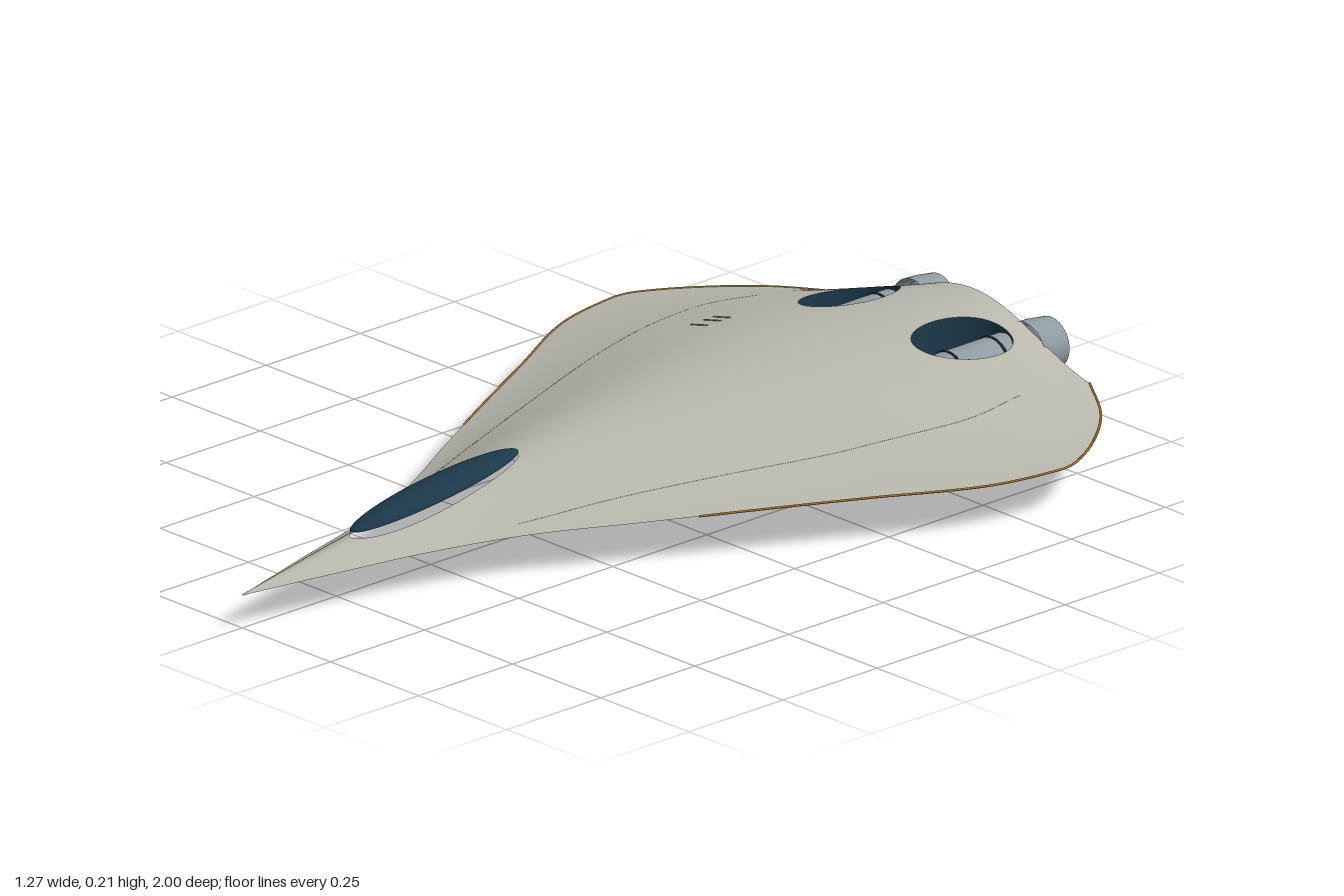
import * as THREE from 'three';

const mat = (name, color, side = THREE.FrontSide) => {
  const m = new THREE.MeshStandardMaterial({ color, side });
  m.name = name;
  return m;
};

// Hull stations: z, half width, rim height, top height, keel height
const stations = [
  [1.0, 0.001, 0.068, 0.07, 0.067], [0.8, 0.052, 0.075, 0.099, 0.06],
  [0.6, 0.103, 0.08, 0.127, 0.051], [0.4, 0.175, 0.084, 0.154, 0.043],
  [0.2, 0.282, 0.087, 0.177, 0.035], [0, 0.387, 0.09, 0.192, 0.028],
  [-0.2, 0.49, 0.091, 0.205, 0.022], [-0.41, 0.6, 0.091, 0.209, 0.021],
  [-0.57, 0.634, 0.091, 0.206, 0.025], [-0.63, 0.626, 0.091, 0.204, 0.027],
  [-0.74, 0.56, 0.091, 0.201, 0.034], [-0.845, 0.466, 0.091, 0.198, 0.042],
  [-0.94, 0.333, 0.09, 0.195, 0.05],
];

// Smooth interpolation of the stations
function section(z) {
  const n = stations.length;
  let i = 0;
  while (i < n - 2 && z < stations[i + 1][0]) i++;
  const a = stations[i], b = stations[i + 1];
  const p = stations[Math.max(i - 1, 0)], q = stations[Math.min(i + 2, n - 1)];
  const h = b[0] - a[0], t = (z - a[0]) / h, t2 = t * t, t3 = t2 * t;
  const [w, rim, top, keel] = [1, 2, 3, 4].map((k) => {
    const ma = ((b[k] - p[k]) / (b[0] - p[0])) * h;
    const mb = ((q[k] - a[k]) / (q[0] - a[0])) * h;
    return (2 * t3 - 3 * t2 + 1) * a[k] + (t3 - 2 * t2 + t) * ma
      + (3 * t2 - 2 * t3) * b[k] + (t3 - t2) * mb;
  });
  return { w: Math.max(w, 0), rim, top, keel };
}

function topY(x, z) {
  const s = section(z), u = Math.min(1, Math.abs(x) / Math.max(s.w, 1e-5));
  const f = 0.325 * (1 + Math.cos(Math.PI * u)) + 0.35 * (1 - u * u);
  return s.rim + (s.top - s.rim) * f;
}

function bottomY(x, z) {
  const s = section(z), u = Math.min(1, Math.abs(x) / Math.max(s.w, 1e-5));
  return s.rim + (s.keel - s.rim) * (1 - Math.pow(u, 1.3));
}

// Oval openings in the upper skin: two engine wells and the cockpit
const WELL = { x: 0.16, z: -0.763, rx: 0.078, rz: 0.115, floor: 0.066 };
const COCKPIT = { x: 0, z: 0.49, rx: 0.045, rz: 0.22 };
const OPENINGS = [WELL, { ...WELL, x: -WELL.x }, COCKPIT];
const Z0 = 1.0, Z1 = -0.94;

function skin(rows, cols, heightAt, up, openings) {
  const pos = [], inside = [], index = [];
  for (let i = 0; i <= rows; i++) {
    for (let j = 0; j <= cols; j++) {
      let z = Z0 + (Z1 - Z0) * (i / rows);
      let x = section(z).w * ((2 * j) / cols - 1);
      let hit = false;
      for (const o of openings) { // push points inside an opening out to its edge
        const dx = (x - o.x) / o.rx, dz = (z - o.z) / o.rz, d = Math.hypot(dx, dz);
        if (hit || d >= 1) continue;
        hit = true;
        x = o.x + (dx / (d || 1)) * o.rx;
        z = o.z + (dz / (d || 1)) * o.rz;
      }
      inside.push(hit);
      pos.push(x, heightAt(x, z), z);
    }
  }
  const tri = (a, b, c) => {
    if (!(inside[a] && inside[b] && inside[c])) index.push(a, b, c);
  };
  for (let i = 0; i < rows; i++) {
    for (let j = 0; j < cols; j++) {
      const a = i * (cols + 1) + j, c = a + 1, b = a + cols + 1, d = b + 1;
      if (up) { tri(a, c, b); tri(c, d, b); } else { tri(a, b, c); tri(c, b, d); }
    }
  }
  const g = new THREE.BufferGeometry();
  g.setAttribute('position', new THREE.Float32BufferAttribute(pos, 3));
  g.setIndex(index);
  g.computeVertexNormals();
  return g;
}

function wellWall() {
  const N = 48, pos = [], index = [];
  for (let i = 0; i <= N; i++) {
    const t = (i / N) * Math.PI * 2;
    const x = WELL.rx * Math.cos(t), z = WELL.z + WELL.rz * Math.sin(t);
    pos.push(x, topY(x + WELL.x, z), z, x, WELL.floor, z);
    if (i < N) index.push(2 * i, 2 * i + 2, 2 * i + 1, 2 * i + 1, 2 * i + 2, 2 * i + 3);
  }
  const g = new THREE.BufferGeometry();
  g.setAttribute('position', new THREE.Float32BufferAttribute(pos, 3));
  g.setIndex(index);
  g.computeVertexNormals();
  return g;
}

const lathe = (pts, seg = 40) =>
  new THREE.LatheGeometry(pts.map(([r, y]) => new THREE.Vector2(r, y)), seg);

export function createModel() {
  const model = new THREE.Group();
  const hullMat = mat('warm grey hull', 0xb8b7ac);
  const bellyMat = mat('slate belly', 0x7b868b);
  const metalMat = mat('engine metal', 0x8f9ca1, THREE.DoubleSide);
  const glassMat = mat('dark blue glass', 0x1c394a, THREE.DoubleSide);
  const blackMat = mat('black bands', 0x1a2126);
  const trimMat = mat('bronze trim', 0xa0702f);
  const lineMat = mat('panel line grey', 0x8f9a9d);
  const lampMat = mat('pale hatch plate', 0xe9eff0);

  const add = (name, geo, material, parent = model) => {
    const m = new THREE.Mesh(geo, material);
    m.name = name;
    parent.add(m);
    return m;
  };

  // Hull skins and flat tail
  add('upperHull', skin(180, 120, topY, true, OPENINGS), hullMat);
  add('lowerHull', skin(80, 48, bottomY, false, []), bellyMat);
  const outline = [], wTail = section(Z1).w;
  for (let i = 0; i <= 40; i++) {
    const x = wTail * (i / 20 - 1);
    outline.push(new THREE.Vector2(x, bottomY(x, Z1)));
  }
  for (let i = 39; i > 0; i--) {
    const x = wTail * (i / 20 - 1);
    outline.push(new THREE.Vector2(x, topY(x, Z1)));
  }
  const tail = new THREE.ShapeGeometry(new THREE.Shape(outline)).rotateY(Math.PI);
  add('tailPlate', tail.translate(0, 0, Z1), metalMat);

  // Canopy: a shallow dome set just above the cockpit opening
  const dome = new THREE.SphereGeometry(1, 48, 14, 0, Math.PI * 2, 0, Math.PI / 2);
  const canopy = add('canopy', dome, glassMat);
  canopy.scale.set(0.046, 0.021, 0.222);
  canopy.position.set(0, 0.15, COCKPIT.z);
  canopy.rotation.x = 0.125;

  for (const side of [1, -1]) {
    const label = side > 0 ? 'left' : 'right';
    // Engine well, pod and nozzle
    const engine = new THREE.Group();
    engine.name = label + 'Engine';
    engine.position.x = side * WELL.x;
    model.add(engine);
    const wall = add('wellWall', wellWall(), glassMat, engine);
    wall.scale.x = side;
    const floor = new THREE.CircleGeometry(1, 40).rotateX(-Math.PI / 2);
    floor.scale(WELL.rx, 1, WELL.rz).translate(0, WELL.floor, WELL.z);
    add('wellFloor', floor, glassMat, engine);
    const pod = lathe([[0, 0.685], [0.036, 0.685], [0.045, 0.695], [0.05, 0.72], [0.05, 0.9]]);
    const podMesh = add('enginePod', pod, metalMat, engine);
    const nozzle = lathe([[0.058, 0.93], [0.057, 0.96], [0.052, 1], [0.043, 1],
      [0.046, 0.955], [0, 0.95]]);
    const nozzleMesh = add('nozzle', nozzle, metalMat, engine);
    const lip = add('nozzleLip', new THREE.TorusGeometry(0.0475, 0.0025, 6, 40), trimMat, engine);
    lip.position.set(0, 0.112, -0.998);
    for (const m of [podMesh, nozzleMesh]) {
      m.rotation.x = -Math.PI / 2;
      m.position.y = 0.112;
    }
    for (const z of [-0.727, -0.842]) {
      const band = add('podBand', new THREE.TorusGeometry(0.049, 0.0035, 8, 40), blackMat, engine);
      band.position.set(0, 0.112, z);
    }

    // Faint panel seam
    const seam = [[0.37, -0.72], [0.4, -0.57], [0.36, -0.3], [0.265, 0], [0.2, 0.2], [0.14, 0.4]];
    const plan = new THREE.CatmullRomCurve3(seam.map(([x, z]) => new THREE.Vector3(x, 0, z)));
    const path = plan.getPoints(50).map((p) =>
      new THREE.Vector3(side * p.x, topY(p.x, p.z) - 0.0005, p.z));
    add(label + 'Seam', new THREE.TubeGeometry(
      new THREE.CatmullRomCurve3(path), 100, 0.0009, 5), lineMat);

    // Bronze rim along the wing edge
    const edge = [];
    for (let i = 0; i <= 50; i++) {
      const z = 0.1 + (Z1 - 0.1) * (i / 50), s = section(z);
      edge.push(new THREE.Vector3(side * s.w, s.rim, z));
    }
    add(label + 'EdgeTrim', new THREE.TubeGeometry(
      new THREE.CatmullRomCurve3(edge), 100, 0.0025, 6), trimMat);
  }

  // Small vents on the right wing
  for (const z of [-0.455, -0.49, -0.515]) {
    const vent = add('vent', new THREE.BoxGeometry(0.048, 0.003, 0.004), lineMat);
    vent.position.set(-0.257, topY(-0.257, z), z);
    vent.rotation.z = Math.atan2(topY(-0.233, z) - topY(-0.281, z), 0.048);
  }

  // Belly hatch: collar, ring and inset plate
  const hatch = new THREE.Group();
  hatch.name = 'bellyHatch';
  hatch.position.z = -0.288;
  model.add(hatch);
  add('hatchCollar', new THREE.CylinderGeometry(0.088, 0.084, 0.022, 48).translate(0, 0.024, 0),
    glassMat, hatch);
  add('hatchRing', lathe([[0.077, 0.012], [0.079, 0.001], [0.086, 0], [0.094, 0.005],
    [0.094, 0.012], [0.086, 0.016], [0.077, 0.016]], 48), metalMat, hatch);
  add('hatchPlate', new THREE.CylinderGeometry(0.067, 0.067, 0.012, 48).translate(0, 0.011, 0),
    lampMat, hatch);
  return model;
}
